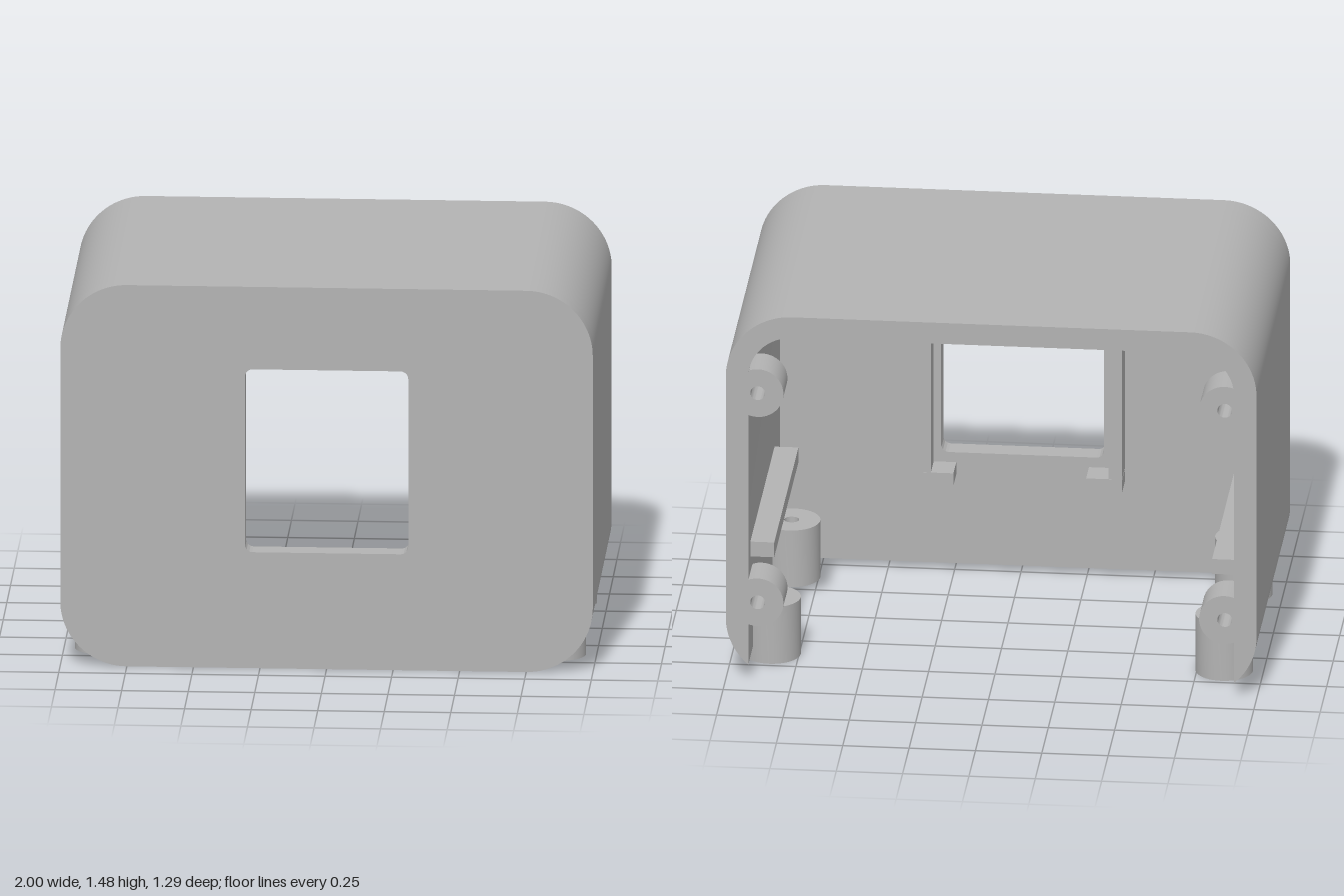
import * as THREE from 'three';
import { toCreasedNormals } from 'three/addons/utils/BufferGeometryUtils.js';

const H = 1.48;        // height
const R = 0.25;        // outer corner radius
const T = 0.085;       // wall thickness
const BACK = -0.647, FRONT = 0.647, PLATE = FRONT - T;
const PI = Math.PI;

function roundedRect(path, x0, y0, x1, y1, r) {
  path.moveTo(x0 + r, y0);
  path.lineTo(x1 - r, y0);
  path.absarc(x1 - r, y0 + r, r, -PI / 2, 0, false);
  path.lineTo(x1, y1 - r);
  path.absarc(x1 - r, y1 - r, r, 0, PI / 2, false);
  path.lineTo(x0 + r, y1);
  path.absarc(x0 + r, y1 - r, r, PI / 2, PI, false);
  path.lineTo(x0, y0 + r);
  path.absarc(x0 + r, y0 + r, r, PI, 1.5 * PI, false);
  return path;
}

// Extrude a shape from z0 to z1 with smooth curves and sharp edges
function extrude(shape, z0, z1) {
  const g = new THREE.ExtrudeGeometry(shape, { depth: z1 - z0, bevelEnabled: false, curveSegments: 20 });
  g.translate(0, 0, z0);
  return toCreasedNormals(g, 0.5);
}

// Round post with a screw hole, along z
function post(radius, hole, length) {
  const s = new THREE.Shape().absarc(0, 0, radius, 0, 2 * PI, false);
  s.holes.push(new THREE.Path().absarc(0, 0, hole, 0, 2 * PI, true));
  return extrude(s, 0, length);
}

export function createModel() {
  const group = new THREE.Group();
  group.name = 'enclosure';
  const grey = new THREE.MeshStandardMaterial({ color: 0xb3b3b3 });
  grey.name = 'grey plastic';

  const add = (name, geometry, x = 0, y = 0, z = 0) => {
    const m = new THREE.Mesh(geometry, grey);
    m.name = name;
    m.position.set(x, y, z);
    group.add(m);
    return m;
  };
  const addBox = (name, x0, x1, y0, y1, z0, z1) =>
    add(name, new THREE.BoxGeometry(Math.abs(x1 - x0), y1 - y0, z1 - z0),
      (x0 + x1) / 2, (y0 + y1) / 2, (z0 + z1) / 2);

  // Front plate with window
  const plate = roundedRect(new THREE.Shape(), -1, 0, 1, H, R);
  plate.holes.push(roundedRect(new THREE.Path(), -0.307, 0.45, 0.307, 1.16, 0.03));
  add('frontPlate', extrude(plate, PLATE, FRONT));

  // Wrap-around shell, open at the back and underneath
  const inX = 1 - T, inR = R - T, c = 1 - R;
  const tip = Math.acos((inX - c) / R);
  const tipY = R - R * Math.sin(tip);
  const shell = new THREE.Shape();
  shell.moveTo(inX, tipY);
  shell.absarc(c, R, R, -tip, 0, false);
  shell.lineTo(1, H - R);
  shell.absarc(c, H - R, R, 0, PI / 2, false);
  shell.lineTo(-c, H);
  shell.absarc(-c, H - R, R, PI / 2, PI, false);
  shell.lineTo(-1, R);
  shell.absarc(-c, R, R, PI, PI + tip, false);
  shell.lineTo(-inX, H - R);
  shell.absarc(-c, H - R, inR, PI, PI / 2, true);
  shell.lineTo(c, H - T);
  shell.absarc(c, H - R, inR, PI / 2, 0, true);
  shell.lineTo(inX, tipY);
  add('shell', extrude(shell, BACK, PLATE));

  const bossGeometry = post(0.097, 0.028, 0.155);
  const footGeometry = post(0.108, 0.028, 0.23).rotateX(-PI / 2);

  for (const s of [1, -1]) {
    // Screw bosses at the open back
    for (const y of [0.315, 1.165]) add('screwBoss', bossGeometry, s * 0.88, y, BACK + 0.004);
    // Feet
    for (const z of [0.375, -0.375]) add('foot', footGeometry, s * 0.852, 0, z);
    // Side rails
    addBox('sideRail', s * 0.825, s * 0.93, 0.47, 0.53, -0.57, 0.36);
    // Panel guides beside the window, with stops below
    addBox('panelGuide', s * 0.335, s * 0.385, 0.38, 1.25, 0.453, PLATE + 0.01);
    addBox('panelStop', s * 0.25, s * 0.386, 0.36, 0.41, 0.452, PLATE + 0.01);
  }
  return group;
}
